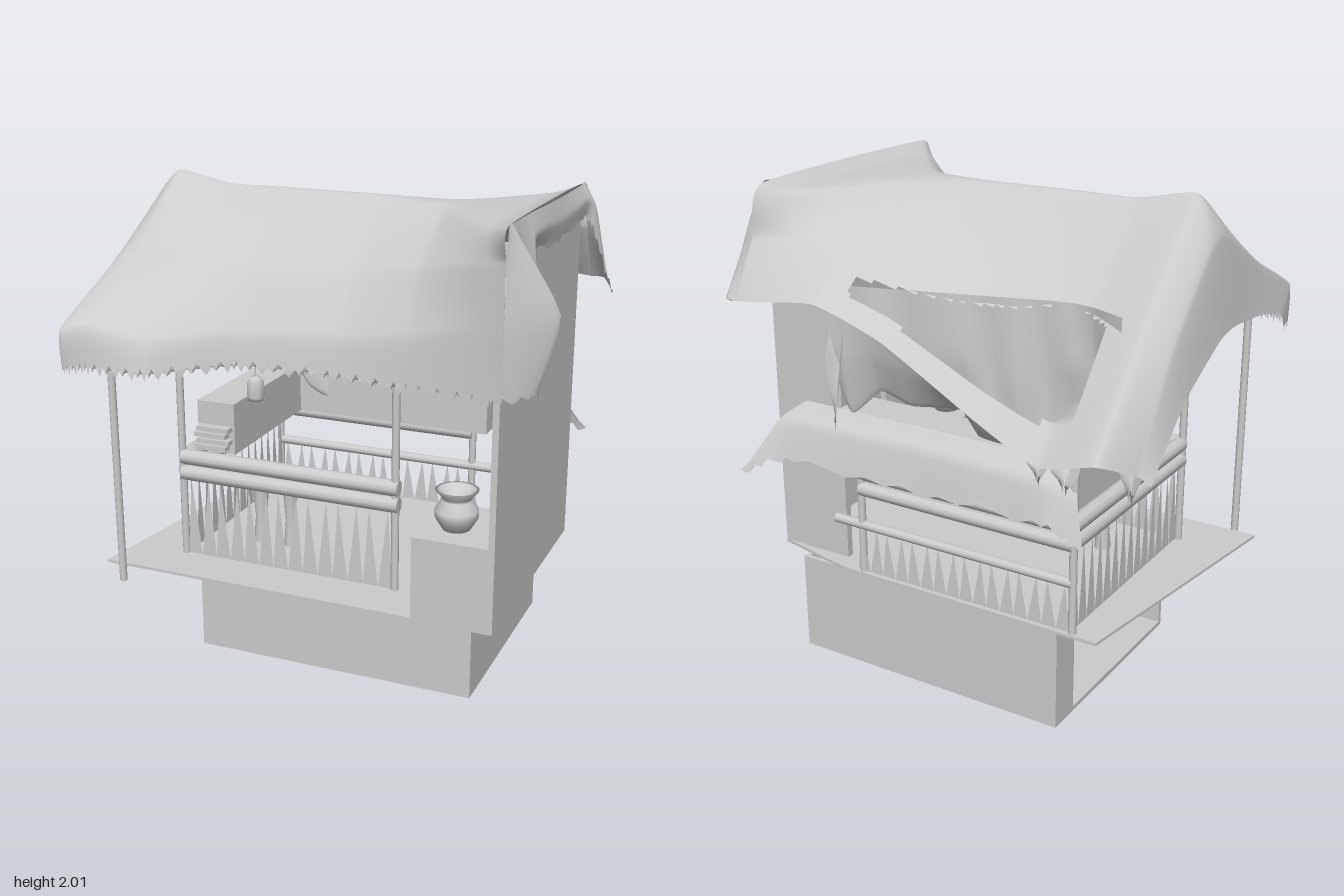
import * as THREE from 'three';

const solid = new THREE.MeshStandardMaterial({ color: 0xcccccc });
const cloth = new THREE.MeshStandardMaterial({ color: 0xcccccc, side: THREE.DoubleSide });

export function createModel() {
  const model = new THREE.Group();

  const add = (name, geometry, material = solid) => {
    const mesh = new THREE.Mesh(geometry, material);
    mesh.name = name;
    model.add(mesh);
    return mesh;
  };

  // box given by its min and max along x, y and z
  const box = (name, x0, x1, y0, y1, z0, z1) => {
    const g = new THREE.BoxGeometry(x1 - x0, y1 - y0, z1 - z0);
    g.translate((x0 + x1) / 2, (y0 + y1) / 2, (z0 + z1) / 2);
    return add(name, g);
  };

  // round bar between two points
  const bar = (name, a, b, r) => {
    const p = new THREE.Vector3(...a), q = new THREE.Vector3(...b);
    const mesh = add(name, new THREE.CylinderGeometry(r, r, p.distanceTo(q), 10));
    mesh.position.copy(p).add(q).multiplyScalar(0.5);
    mesh.quaternion.setFromUnitVectors(new THREE.Vector3(0, 1, 0), q.sub(p).normalize());
    return mesh;
  };

  // cloth through rows of points; tatter makes the row ends ragged, isHole(x, z) leaves faces out
  const sheet = (name, rows, nu, nv, tatter = 0, isHole = () => false) => {
    const curve = points => new THREE.CatmullRomCurve3(points, false, 'catmullrom', 0.25);
    const curves = rows.map(r => curve(r.map(p => new THREE.Vector3(...p))));
    const pos = [], index = [];
    for (let j = 0; j <= nv; j++) {
      const across = curve(curves.map(c => c.getPoint(j / nv)));
      for (let i = 0; i <= nu; i++) {
        const p = across.getPoint(i / nu);
        if (j === nv) p.y -= tatter * (((i * 7) % 5) / 4 - 0.5);
        pos.push(p.x, p.y, p.z);
        if (i < nu && j < nv && !isHole(p.x, p.z)) {
          const a = j * (nu + 1) + i, b = a + nu + 1;
          index.push(a, b, a + 1, a + 1, b, b + 1);
        }
      }
    }
    const g = new THREE.BufferGeometry();
    g.setAttribute('position', new THREE.Float32BufferAttribute(pos, 3));
    g.setIndex(index);
    g.computeVertexNormals();
    return add(name, g, cloth);
  };

  // hollow foundation, partly open on its right-hand side
  box('foundationFloor', -0.6, 0.62, 0, 0.02, -0.61, 0.33);
  box('foundationFront', -0.6, 0.62, 0.02, 0.42, 0.31, 0.33);
  box('foundationBack', -0.6, 0.62, 0.02, 0.42, -0.61, -0.59);
  box('foundationEnd', 0.6, 0.62, 0.02, 0.42, -0.59, 0.31);
  box('foundationJamb', -0.6, -0.58, 0.02, 0.42, -0.59, -0.47);

  // skewed deck
  const deck = new THREE.Shape([[-0.77, 0.62], [-0.93, -0.54], [0.77, -0.55], [0.77, 0.54], [0.4, 0.62]]
    .map(p => new THREE.Vector2(...p)));
  const deckGeo = new THREE.ExtrudeGeometry(deck, { depth: 0.012, bevelEnabled: false });
  deckGeo.rotateX(-Math.PI / 2).translate(0, 0.42, 0);
  add('deck', deckGeo);

  // tall side wall, shaped in the z-y plane
  const side = new THREE.Shape([[-0.55, 0.43], [0.54, 0.43], [0.54, 1.8], [0.48, 1.85], [-0.31, 1.84], [-0.55, 1.72]]
    .map(p => new THREE.Vector2(...p)));
  const sideGeo = new THREE.ExtrudeGeometry(side, { depth: 0.025, bevelEnabled: false });
  sideGeo.rotateY(Math.PI / 2).translate(0.745, 0, 0);
  add('sideWall', sideGeo);
  box('backWall', 0.44, 0.76, 0.43, 1.7, -0.54, -0.51);
  box('frontCounter', 0.44, 0.765, 0.43, 0.77, 0.22, 0.55);

  // jar and leaning board on the counter
  const jar = [[0, 0], [0.055, 0], [0.085, 0.05], [0.085, 0.08], [0.06, 0.12], [0.058, 0.13], [0.085, 0.16], [0.07, 0.16], [0.045, 0.13], [0, 0.12]];
  add('jar', new THREE.LatheGeometry(jar.map(p => new THREE.Vector2(...p)), 20)).position.set(0.57, 0.77, 0.4);
  box('leaningBoard', 0.68, 0.71, 0.77, 1.1, 0.1, 0.2).rotation.z = -0.02;

  // inner shelves and the books at the end of one
  box('sideShelf', -0.62, -0.45, 0.88, 1.1, -0.55, 0.27);
  box('backShelf', -0.45, 0.44, 0.88, 1.1, -0.55, -0.38);
  for (let i = 0; i < 4; i++)
    box('book', -0.62 + 0.012 * (i % 2), -0.46 - 0.015 * ((i + 1) % 2), 0.9 + i * 0.027, 0.92 + i * 0.027, 0.22, 0.31);

  // posts
  bar('awningPost', [-0.81, 0.39, 0.61], [-0.81, 1.5, 0.61], 0.016);
  for (const [x, z, top] of [[-0.66, 0.34, 1.5], [0.295, 0.34, 1.5], [-0.66, -0.6, 1.2], [0.31, -0.6, 0.9]])
    bar('balconyPost', [x, 0.43, z], [x, top, z], 0.016);

  // rails: front, side and back
  for (const y of [0.8, 0.87]) {
    bar('frontRail', [-0.66, y, 0.34], [0.31, y, 0.34], 0.033);
    bar('sideRail', [-0.65, y, -0.6], [-0.65, y, 0.34], 0.033);
    bar('backRail', [-0.66, y, -0.6], [0.31, y, -0.6], 0.03);
  }
  bar('lowBackRail', [-0.66, 0.64, -0.6], [0.44, 0.64, -0.6], 0.02);

  // pointed pickets along a line on the deck
  const pickets = (name, x0, z0, x1, z1, n, height) => {
    const pos = [], dx = (x1 - x0) / n, dz = (z1 - z0) / n;
    for (let i = 0; i < n; i++) {
      const x = x0 + dx * i, z = z0 + dz * i;
      pos.push(x, 0.43, z, x + dx, 0.43, z + dz,
        x + dx * (0.4 + 0.2 * (i % 2)), 0.43 + height, z + dz * 0.5);
    }
    const g = new THREE.BufferGeometry();
    g.setAttribute('position', new THREE.Float32BufferAttribute(pos, 3));
    g.computeVertexNormals();
    add(name, g, cloth);
  };
  pickets('frontPickets', -0.65, 0.34, 0.29, 0.34, 14, 0.34);
  pickets('sidePickets', -0.65, -0.6, -0.65, 0.33, 14, 0.34);
  pickets('backPickets', -0.65, -0.6, 0.34, -0.6, 16, 0.2);

  // two wrapped bundles standing inside
  for (const [x, r] of [[-0.42, 0.035], [-0.28, 0.03]]) {
    const g = new THREE.LatheGeometry([[r, 0], [r * 0.7, 0.12], [r, 0.25], [r * 1.3, 0.36]]
      .map(p => new THREE.Vector2(...p)), 12);
    add('bundle', g, cloth).position.set(x, 0.43, 0.1);
  }

  // lantern
  const lantern = [[0, 0], [0.03, 0], [0.036, 0.015], [0.036, 0.07], [0.025, 0.095], [0, 0.1]];
  add('lantern', new THREE.LatheGeometry(lantern.map(p => new THREE.Vector2(...p)), 8)).position.set(-0.31, 1.16, 0.34);
  bar('lanternCord', [-0.31, 1.25, 0.34], [-0.31, 1.55, 0.34], 0.003);

  // great cloth roof: sections along x, each from back hem over the ridge to front hem as z, y
  const roof = [
    [-0.96, -0.6, 1.1, -0.35, 1.33, -0.05, 1.48, 0.1, 1.5, 0.4, 1.47, 0.58, 1.42, 0.62, 1.36],
    [-0.92, -0.63, 1.14, -0.4, 1.5, -0.08, 1.82, 0.05, 1.85, 0.42, 1.66, 0.77, 1.5, 0.78, 1.34],
    [-0.82, -0.76, 1.2, -0.4, 1.62, -0.04, 1.98, 0.03, 1.99, 0.4, 1.7, 0.74, 1.52, 0.77, 1.35],
    [-0.58, -0.74, 1.14, -0.4, 1.56, -0.04, 1.94, 0.03, 1.95, 0.38, 1.71, 0.68, 1.47, 0.73, 1.34],
    [-0.3, -0.71, 1.25, -0.42, 1.58, -0.05, 1.94, 0.03, 1.95, 0.33, 1.71, 0.49, 1.48, 0.52, 1.35],
    [0.1, -0.72, 1.48, -0.45, 1.68, -0.06, 1.94, 0.03, 1.95, 0.32, 1.72, 0.47, 1.5, 0.5, 1.35],
    [0.4, -0.73, 1.58, -0.5, 1.76, -0.12, 1.94, 0.1, 1.95, 0.38, 1.77, 0.5, 1.54, 0.52, 1.34],
    [0.68, -0.74, 1.55, -0.58, 1.77, -0.44, 1.94, 0.42, 1.95, 0.53, 1.84, 0.55, 1.6, 0.55, 1.34],
    [0.78, -0.74, 1.54, -0.62, 1.77, -0.54, 1.97, 0.55, 1.98, 0.57, 1.85, 0.57, 1.6, 0.56, 1.35],
  ].map(([x, ...s]) => [0, 2, 4, 6, 8, 10, 12].map(k => [x, s[k + 1], s[k]]));
  // tear in the back slope
  const tearFront = x => -0.36 - 0.3 * Math.max(0, x + 0.47) - 0.4 * Math.max(0, -0.56 - x);
  const tear = (x, z) => x > -0.67 && x < 0.3 && z > -0.65 && z < tearFront(x);
  sheet('roofCloth', roof, 180, 120, 0.05, tear);

  // cloth falling over the top of the side wall
  sheet('roofSideDrape', [
    [[0.78, 1.98, 0.55], [0.78, 1.65, 0.57], [0.78, 1.35, 0.56]],
    [[0.78, 1.98, 0.52], [0.95, 1.66, 0.45], [0.88, 1.36, 0.46]],
    [[0.78, 1.98, 0.46], [0.87, 1.62, 0.37], [0.82, 1.36, 0.37]],
    [[0.78, 1.98, 0.3], [0.81, 1.9, 0.31], [0.79, 1.82, 0.31]],
    [[0.78, 1.97, -0.1], [0.8, 1.89, -0.1], [0.79, 1.81, -0.1]],
    [[0.78, 1.97, -0.46], [0.81, 1.91, -0.47], [0.8, 1.84, -0.48]],
    [[0.78, 1.97, -0.54], [0.83, 1.88, -0.54], [0.83, 1.78, -0.53]],
    [[0.78, 1.77, -0.62], [0.85, 1.69, -0.62], [0.87, 1.6, -0.6]],
    [[0.78, 1.54, -0.74], [0.84, 1.54, -0.73], [0.9, 1.5, -0.64]],
  ], 48, 8, 0.03);

  // swag hung from the edges of the tear, sagging to the given height along x
  const swag = [[-0.74, 1.12], [-0.6, 1.24], [-0.5, 1.19], [-0.4, 1.01], [-0.3, 0.95], [-0.2, 1.0], [-0.1, 1.17], [0.1, 1.17], [0.22, 1.22], [0.34, 1.12], [0.4, 1.3]];
  sheet('innerSwag', swag.map(([x, y], i) => {
    const back = 1.25 + 0.3 * THREE.MathUtils.smoothstep(x, -0.45, 0.3);
    const front = tearFront(x);
    return [[x, 1.63, front + 0.01], [x, (1.6 + y) / 2, front + 0.03 * (i % 2)], [x, y + 0.03, front + 0.03],
      [x, y, front], [x, (y + back) / 2, (front - 0.64) / 2 - 0.02], [x, back, -0.65]];
  }), 60, 20);

  // cloth awning sloping out from the back shelf
  sheet('backAwning', [
    [[0.61, 1.1, -0.55], [0.66, 1.05, -0.66], [0.79, 0.82, -0.77]],
    [[0.55, 1.1, -0.55], [0.56, 1.06, -0.66], [0.6, 0.9, -0.71]],
    [[0, 1.1, -0.55], [0, 1.06, -0.65], [0, 0.89, -0.69]],
    [[-0.55, 1.1, -0.55], [-0.56, 1.05, -0.66], [-0.58, 0.9, -0.7]],
    [[-0.62, 1.09, -0.5], [-0.68, 1.0, -0.62], [-0.73, 0.8, -0.66]],
  ], 32, 8, 0.03);

  // loose rags at the back corners
  for (const [x, z, top, low, w] of [[-0.88, -0.56, 1.25, 1.04, 0.05], [-0.68, -0.68, 1.2, 1.08, 0.06],
    [-0.56, -0.66, 1.2, 1.08, 0.05], [0.36, -0.64, 1.56, 1.1, 0.04]])
    sheet('rag', [-1, 0, 1].map(s => [
      [x + s * w * 0.6, top, z + 0.02], [x + s * w, (top + low) / 2, z - 0.04 * s * s], [x + s * w * 0.5, low, z - 0.04 + 0.03 * s]]), 10, 8, 0.05);

  return model;
}
